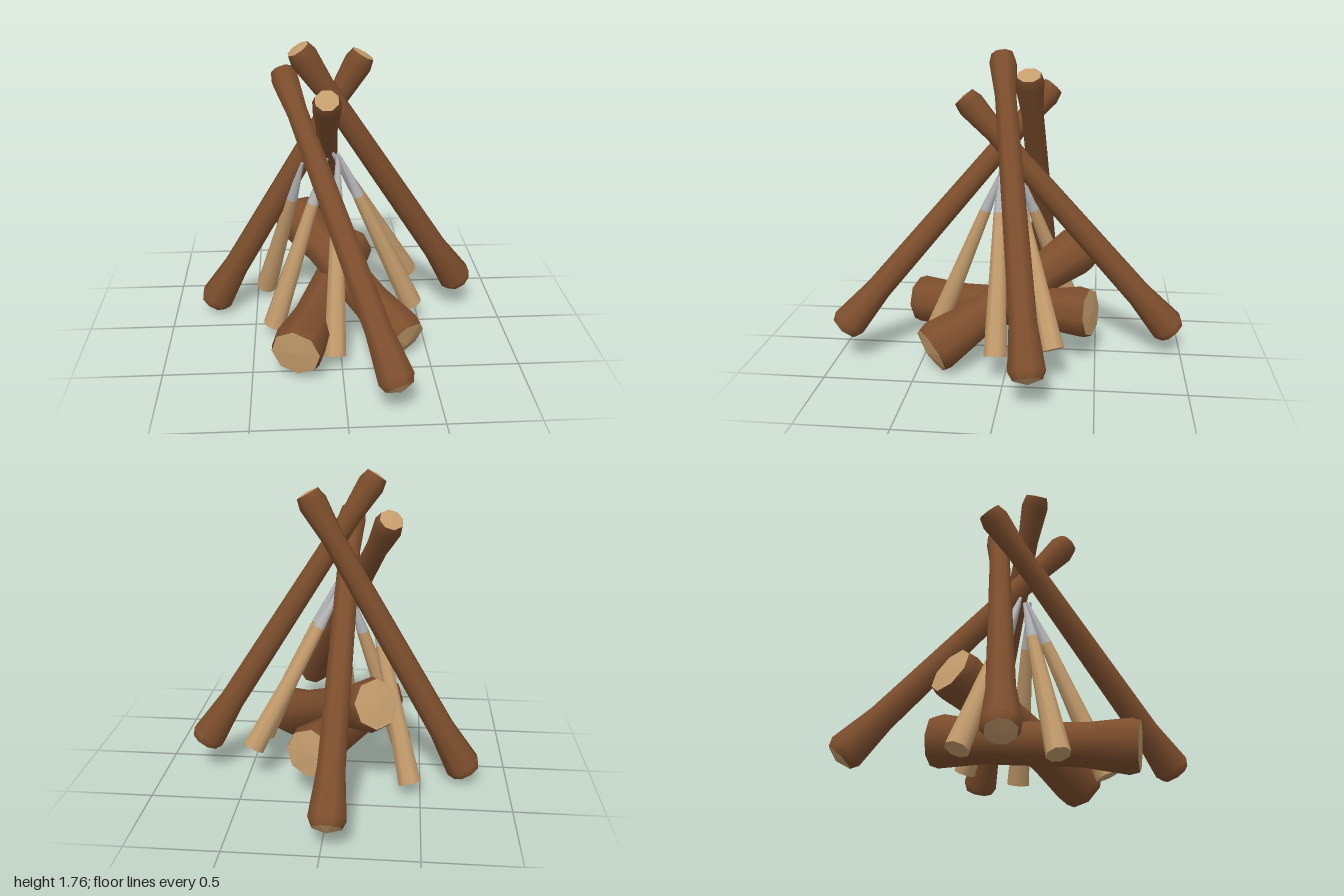
import * as THREE from 'three';

const SIDES = 8;
const UP = new THREE.Vector3(0, 1, 0);

const material = (name, color, side = THREE.FrontSide) => {
  const m = new THREE.MeshStandardMaterial({ color, side });
  m.name = name;
  return m;
};

// Ring-by-ring solid of revolution from [radius, height] pairs, listed upwards
function turned(points, name, mat, faceted = false) {
  let geometry = new THREE.LatheGeometry(points.map(([r, y]) => new THREE.Vector2(r, y)), SIDES, Math.PI / 8);
  if (faceted) {
    geometry = geometry.toNonIndexed();
    geometry.computeVertexNormals();
  }
  const mesh = new THREE.Mesh(geometry, mat);
  mesh.name = name;
  return mesh;
}

// Group standing at "from" with its y axis aimed at "to"
function aimed(name, from, to) {
  const group = new THREE.Group();
  const start = new THREE.Vector3(...from);
  const direction = new THREE.Vector3(...to).sub(start);
  group.name = name;
  group.position.copy(start);
  group.userData.length = direction.length();
  group.quaternion.setFromUnitVectors(UP, direction.normalize());
  return group;
}

export function createModel() {
  const bark = material('bark', 0x7d4e2d);
  const wood = material('cut wood', 0xc49c6c);
  const metal = material('grey point', 0xb4b5b8);
  const model = new THREE.Group();
  model.name = 'campfire';

  // Bark-covered piece with flared, bevelled ends and faceted cut faces
  function timber(name, from, to, low, high, tip) {
    const group = aimed(name, from, to);
    const L = group.userData.length;
    group.add(
      turned([
        [low.cap, 0], [low.flare, low.bevel], [low.neck, low.reach],
        [high.neck, L - high.reach], [high.flare, L - high.bevel], [high.cap, L],
      ], name + 'Bark', bark),
      turned([[0, -tip], [low.cap, 0]], name + 'LowerCut', wood, true),
      turned([[high.cap, L], [0, L + 0.008]], name + 'UpperCut', wood, true),
    );
    model.add(group);
  }

  // Four long leaning poles
  const poleFoot = { cap: 0.082, flare: 0.104, neck: 0.077, bevel: 0.045, reach: 0.3 };
  const poleHead = { cap: 0.066, flare: 0.082, neck: 0.063, bevel: 0.06, reach: 0.27 };
  [
    ['rightPole', [-0.765, 0.08, -0.18], [0.15, 1.665, -0.11]],
    ['leftPole', [0.765, 0.2, -0.16], [-0.215, 1.74, 0.075]],
    ['frontPole', [0.26, 0.21, 0.945], [-0.305, 1.55, -0.215]],
    ['backPole', [-0.03, 0.15, -0.95], [-0.07, 1.515, 0.28]],
  ].forEach(([name, from, to]) => timber(name, from, to, poleFoot, poleHead, 0.025));

  // Two thick crossed logs
  const logEnd = { cap: 0.138, flare: 0.153, neck: 0.122, bevel: 0.05, reach: 0.3 };
  timber('lowerLog', [-0.26, 0.2, 0.6], [0.11, 0.305, -0.47], logEnd, logEnd, 0.008);
  timber('upperLog', [0.355, 0.14, 0.42], [-0.25, 0.58, -0.4], logEnd, logEnd, 0.03);

  // Five tapered sticks with grey points
  [
    [[-0.44, 0.09, -0.36], [-0.2, 1.06, -0.02]],
    [[-0.385, 0.1, 0.145], [-0.06, 1.1, 0.02]],
    [[-0.04, 0.095, 0.47], [0, 1.14, 0.04]],
    [[0.455, 0.225, -0.27], [-0.03, 1.13, 0]],
    [[0.445, 0.165, 0.045], [0, 1.14, 0.06]],
  ].forEach(([from, to], i) => {
    const stick = aimed('stick' + (i + 1), from, to);
    const L = stick.userData.length;
    stick.add(
      turned([[0.066, 0], [0.035, L * 0.74]], 'stickShaft', wood),
      turned([[0, 0], [0.066, 0]], 'stickCut', wood, true),
      turned([[0.035, L * 0.74], [0.009, L]], 'stickPoint', metal),
      turned([[0.009, L], [0, L + 0.004]], 'stickTip', metal, true),
    );
    model.add(stick);
  });

  return model;
}
